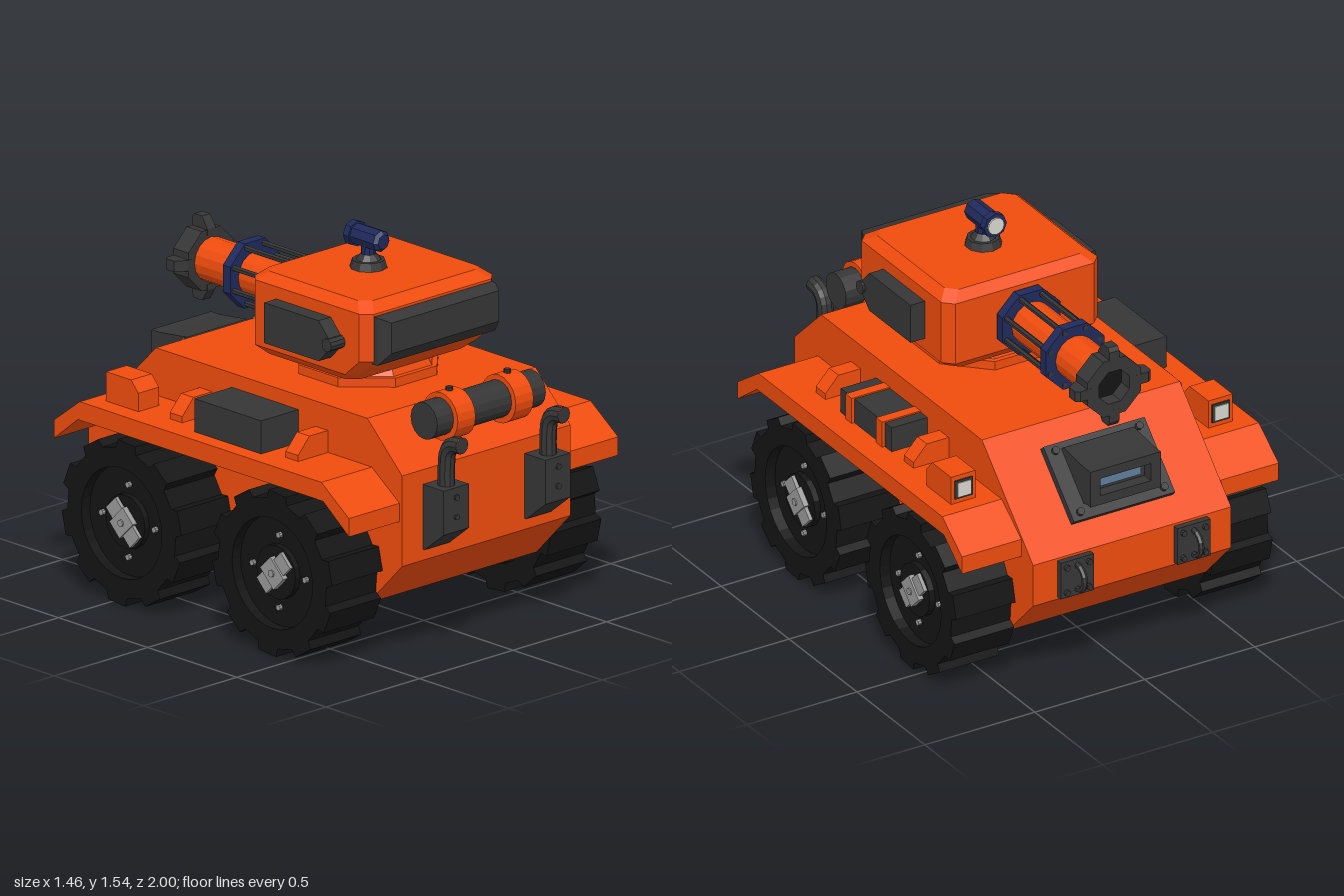
import * as THREE from 'three';
import { ConvexGeometry } from 'three/addons/geometries/ConvexGeometry.js';

const mat = (color) => new THREE.MeshStandardMaterial({ color, flatShading: true });
const ORANGE = mat(0xf04c0c), DARK = mat(0x363636), RUBBER = mat(0x141414), NAVY = mat(0x1f2a5c);
const METAL = mat(0x999999), GLASS = mat(0x5f7f9c), LAMP = mat(0xd8d8d0);
const HALF = Math.PI / 2;

function add(parent, name, geometry, material, x = 0, y = 0, z = 0) {
  const mesh = new THREE.Mesh(geometry, material);
  mesh.name = name;
  mesh.position.set(x, y, z);
  parent.add(mesh);
  return mesh;
}
const box = (w, h, d) => new THREE.BoxGeometry(w, h, d);
const cyl = (r1, r2, h, n) => new THREE.CylinderGeometry(r1, r2, h, n);
const cylX = (r, h, n) => cyl(r, r, h, n).rotateZ(HALF);
const cylZ = (r, h, n) => cyl(r, r, h, n).rotateX(HALF);
const shapeOf = (pts) => new THREE.Shape(pts.map(([a, b]) => new THREE.Vector2(a, b)));
const extrude = (shape, depth, curveSegments = 16) =>
  new THREE.ExtrudeGeometry(shape, { depth, bevelEnabled: false, curveSegments });
// side profile given as (z, y), swept from x0 to x1
const sweepX = (pts, x0, x1) =>
  extrude(shapeOf(pts), x1 - x0).rotateY(-HALF).translate(x1, 0, 0);
// octagonal ring lying across z
function ringZ(rOut, rIn, depth, n = 8) {
  const at = (r) => Array.from({ length: n }, (_, i) => {
    const a = (i + 0.5) / n * Math.PI * 2;
    return [Math.cos(a) * r, Math.sin(a) * r];
  });
  const shape = shapeOf(at(rOut));
  shape.holes.push(shapeOf(at(rIn)));
  return extrude(shape, depth).translate(0, 0, -depth / 2);
}

function hull(root) {
  add(root, 'hull', sweepX([[0.85, 0.41], [0.85, 0.78], [0.655, 0.968], [-0.53, 0.968],
    [-0.907, 0.59], [-0.907, 0.41], [-0.72, 0.215], [0.66, 0.215]], -0.45, 0.45), ORANGE);
  const fender = [[0.68, 0.775], [0.835, 0.665], [0.835, 0.59], [0.69, 0.7],
    [-0.685, 0.7], [-0.82, 0.59], [-0.82, 0.665], [-0.675, 0.775]];
  for (const s of [-1, 1]) {
    add(root, 'fender', sweepX(fender, s > 0 ? 0.45 : -0.72, s > 0 ? 0.72 : -0.45), ORANGE);
    // fender brackets
    for (const z of [-0.25, 0.4]) {
      const g = extrude(shapeOf([[0.44, 0.77], [0.61, 0.77], [0.61, 0.8], [0.55, 0.865], [0.44, 0.865]]), 0.07);
      const bracket = add(root, 'fenderBracket', g, ORANGE, 0, 0, z - s * 0.035);
      bracket.rotation.y = s > 0 ? 0 : Math.PI;
    }
    // headlight with its lens
    add(root, 'headlightHousing', sweepX([[-0.61, 0.77], [-0.61, 0.895], [-0.47, 0.895], [-0.43, 0.85],
      [-0.43, 0.77]], s * 0.585 - 0.055, s * 0.585 + 0.055), ORANGE);
    add(root, 'headlightRim', box(0.08, 0.08, 0.01), DARK, s * 0.585, 0.835, -0.611);
    add(root, 'headlightLens', box(0.06, 0.06, 0.014), LAMP, s * 0.585, 0.835, -0.613);
  }
  // stowage boxes
  add(root, 'strappedBox', box(0.165, 0.11, 0.375), DARK, 0.53, 0.825, 0.06);
  for (const z of [-0.055, 0.17]) add(root, 'boxStrap', box(0.185, 0.115, 0.045), ORANGE, 0.532, 0.828, z);
  add(root, 'stowageBox', box(0.2, 0.14, 0.375), DARK, -0.55, 0.84, 0.082);
}

function visor(root) {
  const plate = add(root, 'visorPlate', box(0.46, 0.03, 0.32), DARK, 0, 0.795, -0.728);
  plate.rotation.x = -Math.PI / 4;
  for (const x of [-0.19, 0.19]) for (const d of [-0.13, 0.13]) {
    const bolt = add(root, 'visorBolt', cyl(0.016, 0.016, 0.02, 8), DARK,
      x, 0.81 + d * 0.707, -0.742 + d * 0.707);
    bolt.rotation.x = -Math.PI / 4;
  }
  add(root, 'visorHood', sweepX([[-0.62, 0.88], [-0.66, 0.912], [-0.81, 0.895], [-0.81, 0.7]], -0.16, 0.16), DARK);
  const frame = shapeOf([[-0.16, 0.74], [0.16, 0.74], [0.16, 0.895], [-0.16, 0.895]]);
  frame.holes.push(shapeOf([[-0.115, 0.78], [0.115, 0.78], [0.115, 0.855], [-0.115, 0.855]]));
  add(root, 'visorFrame', extrude(frame, 0.05), DARK, 0, 0, -0.86);
  add(root, 'visorGlass', box(0.19, 0.045, 0.01), GLASS, 0, 0.818, -0.814);
}

function towHooks(root) {
  for (const x of [-0.265, 0.265]) {
    add(root, 'towPlate', box(0.15, 0.16, 0.03), DARK, x, 0.5, -0.918);
    add(root, 'towRing', new THREE.TorusGeometry(0.053, 0.012, 6, 16).rotateY(HALF), DARK, x, 0.5, -0.935);
    for (const dx of [-0.05, 0.05]) for (const dy of [-0.055, 0.055])
      add(root, 'towBolt', cylZ(0.012, 0.02, 8), DARK, x + dx, 0.5 + dy, -0.937);
  }
}

function wheel(root, side, z, hubTurn) {
  const g = new THREE.Group();
  g.name = 'wheel';
  // treaded tyre with a dished face
  const n = 10, pts = [];
  for (let i = 0; i < n; i++)
    for (const [t, r] of [[0, 0.304], [0.06, 0.337], [0.52, 0.337], [0.58, 0.304]]) {
      const a = (i + t) / n * Math.PI * 2 + 0.05;
      pts.push([Math.cos(a) * r, Math.sin(a) * r]);
    }
  const tyre = shapeOf(pts);
  tyre.holes.push(new THREE.Path().absarc(0, 0, 0.225, 0, Math.PI * 2, true));
  add(g, 'tyre', extrude(tyre, 0.27), RUBBER, 0, 0, -0.135);
  add(g, 'wheelDisc', cylZ(0.226, 0.2, 24), RUBBER, 0, 0, -0.01);
  add(g, 'wheelBoss', cylZ(0.11, 0.03, 16), RUBBER, 0, 0, 0.1);
  for (let i = 0; i < 4; i++)
    add(g, 'wheelBolt', cylZ(0.012, 0.03, 8), METAL, Math.cos(i * HALF) * 0.148, Math.sin(i * HALF) * 0.148, 0.09);
  const hub = new THREE.Group();
  hub.name = 'hub';
  hub.rotation.z = hubTurn;
  add(hub, 'hubBar', box(0.19, 0.075, 0.04), METAL, 0, 0, 0.11);
  add(hub, 'hubBlock', box(0.08, 0.105, 0.04), METAL, 0, 0, 0.118);
  add(hub, 'hubCap', cylZ(0.015, 0.03, 8), METAL, 0, 0, 0.129);
  g.add(hub);
  g.position.set(side * 0.585, 0.337, z);
  g.rotation.y = side * HALF;
  root.add(g);
}

function rearGear(root) {
  // strapped drum
  add(root, 'drum', cylX(0.075, 0.58, 16), DARK, 0, 0.957, 0.805);
  for (const s of [-1, 1]) {
    add(root, 'drumStrap', cylX(0.098, 0.095, 20), ORANGE, s * 0.155, 0.955, 0.805);
    add(root, 'strapBolt', cyl(0.014, 0.014, 0.02, 8), DARK, s * 0.155, 1.057, 0.805);
    // exhaust box and bent pipe
    const x = s * 0.272;
    add(root, 'exhaustBox', sweepX([[0.84, 0.72], [0.84, 0.455], [0.86, 0.455], [0.967, 0.54], [0.967, 0.72]],
      x - 0.067, x + 0.067), DARK);
    for (const y of [0.6, 0.68]) add(root, 'exhaustBolt', cylZ(0.012, 0.014, 8), DARK, x, y, 0.968);
    const path = new THREE.CatmullRomCurve3([[0.7, 0.912], [0.8, 0.912], [0.86, 0.921], [0.89, 0.95], [0.897, 1]]
      .map(([y, z]) => new THREE.Vector3(x, y, z)));
    add(root, 'exhaustPipe', new THREE.TubeGeometry(path, 12, 0.034, 10), DARK);
    add(root, 'pipeEnd', new THREE.CircleGeometry(0.034, 10), DARK, x, 0.897, 0.999);
  }
}

function turret(root) {
  add(root, 'turretRingLower', cyl(0.29, 0.29, 0.04, 8).rotateY(Math.PI / 8), ORANGE, 0, 0.985, 0.19);
  add(root, 'turretRingUpper', cyl(0.25, 0.27, 0.04, 8).rotateY(Math.PI / 8), ORANGE, 0, 1.02, 0.19);
  // body from chamfered rings: height, half width, far and near z
  const pts = [], c = 0.04;
  for (const [y, w, zb, zf] of [[1.03, 0.31, 0.425, -0.08], [1.07, 0.355, 0.47, -0.115],
    [1.14, 0.355, 0.55, -0.115], [1.335, 0.355, 0.55, -0.115], [1.37, 0.315, 0.5, -0.075]])
    for (const s of [-1, 1]) for (const [x, z] of [[w, zb - c], [w - c, zb], [w, zf + c], [w - c, zf]])
      pts.push(new THREE.Vector3(s * x, y, z));
  add(root, 'turretBody', new ConvexGeometry(pts), ORANGE);
  const panel = [];
  for (const s of [-1, 1]) for (const [x, y, z] of [[0.315, 1.13, 0.54], [0.315, 1.325, 0.54],
    [0.315, 1.13, 0.57], [0.315, 1.325, 0.57], [0.287, 1.185, 0.62], [0.287, 1.31, 0.62]])
    panel.push(new THREE.Vector3(s * x, y, z));
  add(root, 'turretRearPanel', new ConvexGeometry(panel), DARK);
  for (const s of [-1, 1]) {
    const x = s * 0.38;
    add(root, 'turretSideBox', sweepX([[0.045, 1.12], [0.045, 1.285], [0.35, 1.285], [0.43, 1.2], [0.35, 1.12]],
      x - 0.04, x + 0.04), DARK);
    add(root, 'sideBoxPivot', cylX(0.027, 0.09, 10), DARK, s * 0.385, 1.2, 0.405);
  }
  // roof camera
  add(root, 'cameraBase', cyl(0.065, 0.075, 0.035, 10), DARK, 0, 1.385, 0.19);
  add(root, 'cameraCollar', cyl(0.03, 0.052, 0.025, 10), DARK, 0, 1.413, 0.19);
  add(root, 'cameraNeck', cyl(0.03, 0.03, 0.06, 10), NAVY, 0, 1.445, 0.19);
  add(root, 'cameraBody', cyl(0.044, 0.044, 0.14, 8).rotateX(HALF), NAVY, 0, 1.49, 0.19);
  add(root, 'cameraTail', cyl(0.03, 0.044, 0.016, 8).rotateX(HALF), NAVY, 0, 1.49, 0.267);
  add(root, 'cameraHead', cylZ(0.052, 0.03, 8), NAVY, 0, 1.49, 0.115);
  add(root, 'cameraLens', cylZ(0.036, 0.01, 12), LAMP, 0, 1.49, 0.098);
}

function gun(root) {
  const g = new THREE.Group();
  g.name = 'gun';
  g.position.y = 1.188;
  add(g, 'barrel', cylZ(0.09, 0.61, 16), ORANGE, 0, 0, -0.405);
  for (const z of [-0.145, -0.467]) add(g, 'barrelCollar', ringZ(0.143, 0.085, 0.042), NAVY, 0, 0, z);
  for (let i = 0; i < 8; i++) {
    const a = (i + 0.5) / 8 * Math.PI * 2;
    add(g, 'barrelRod', cylZ(0.012, 0.375, 6), DARK, Math.cos(a) * 0.122, Math.sin(a) * 0.122, -0.302);
  }
  add(g, 'muzzle', ringZ(0.132, 0.075, 0.085), DARK, 0, 0, -0.734);
  add(g, 'bore', cylZ(0.077, 0.01, 16), RUBBER, 0, 0, -0.71);
  for (let i = 0; i < 4; i++) {
    const prong = add(g, 'muzzleProng', sweepX([[-0.69, 0.1], [-0.69, 0.125], [-0.72, 0.172],
      [-0.765, 0.172], [-0.777, 0.155], [-0.777, 0.1]], -0.022, 0.022), DARK);
    prong.rotation.z = i * HALF;
  }
  root.add(g);
}

export function createModel() {
  const root = new THREE.Group();
  root.name = 'armouredCar';
  hull(root);
  visor(root);
  towHooks(root);
  for (const s of [-1, 1]) {
    wheel(root, s, 0.405, -s * Math.PI / 4);
    wheel(root, s, -0.44, s * Math.PI / 4);
  }
  rearGear(root);
  turret(root);
  gun(root);
  return root;
}
